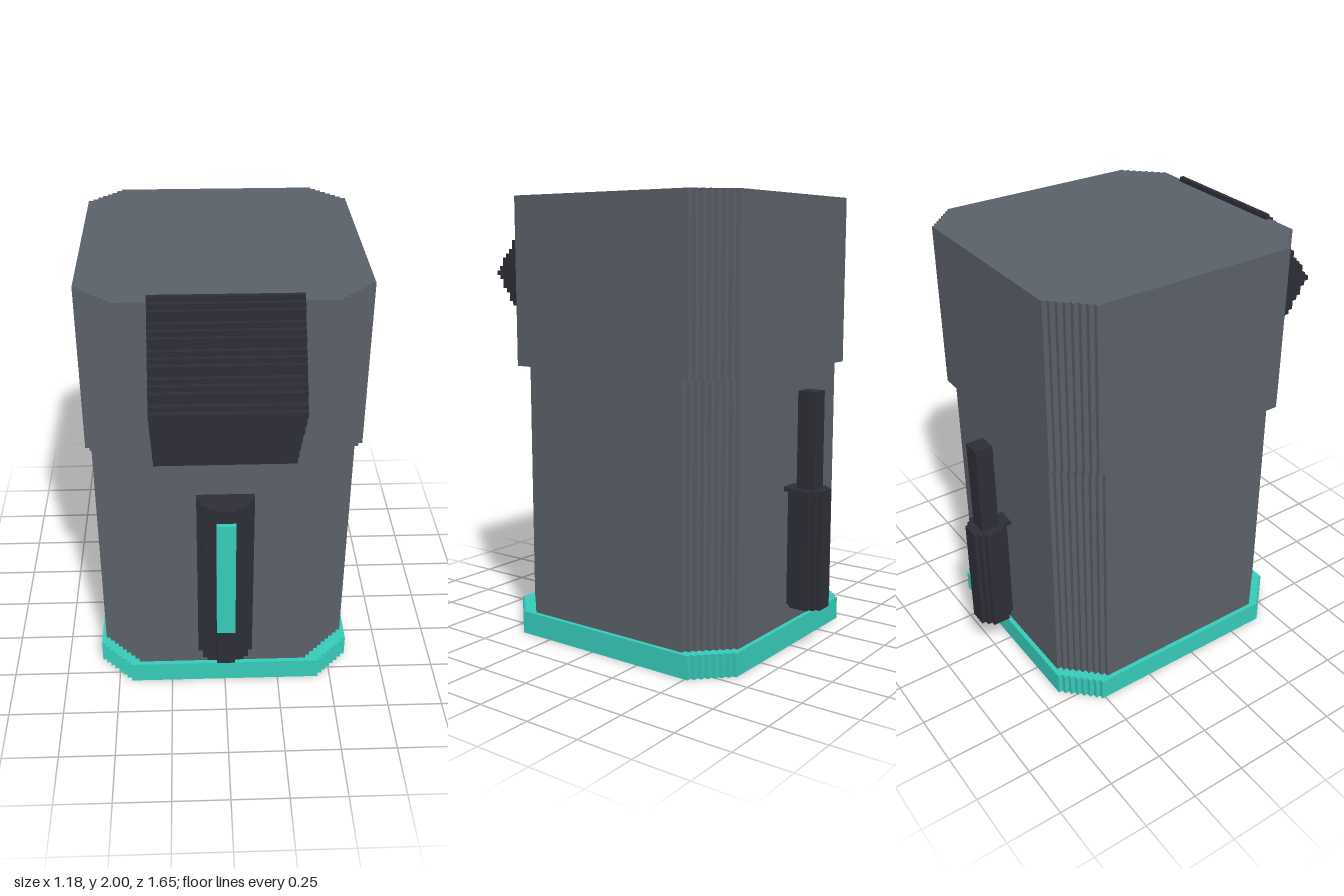
import * as THREE from 'three';

// one voxel; all dimensions below are counted in voxels
const V = 2 / 97;

const mat = (name, color) => Object.assign(new THREE.MeshStandardMaterial({ color }), { name });

export function createModel() {
  const group = new THREE.Group();
  const shell = mat('slate shell', 0x5a6068);
  const dark = mat('dark trim', 0x2d2d36);
  const teal = mat('teal accent', 0x36cab8);

  const add = (name, geometry, material) => {
    const mesh = new THREE.Mesh(geometry, material);
    mesh.name = name;
    group.add(mesh);
  };

  // box given by its limits
  const box = (name, material, x0, x1, y0, y1, z0, z1) => {
    const g = new THREE.BoxGeometry((x1 - x0) * V, (y1 - y0) * V, (z1 - z0) * V);
    g.translate((x0 + x1) / 2 * V, (y0 + y1) / 2 * V, (z0 + z1) / 2 * V);
    add(name, g, material);
  };

  // upright prism from a floor plan of [x, z] points
  const prism = (name, material, plan, y0, y1) => {
    const shape = new THREE.Shape(plan.map(([x, z]) => new THREE.Vector2(x * V, -z * V)));
    const g = new THREE.ExtrudeGeometry(shape, { depth: (y1 - y0) * V, bevelEnabled: false });
    g.rotateX(-Math.PI / 2).translate(0, y0 * V, 0);
    add(name, g, material);
  };

  // staircase corner running from the front or back edge to the side edge
  const corner = (x, z, c) => {
    const sx = Math.sign(x), sz = Math.sign(z), pts = [];
    for (let i = 0; i < c; i++) {
      pts.push([x - sx * (c - i), z - sz * i], [x - sx * (c - i), z - sz * (i + 1)]);
    }
    pts.push([x, z - sz * c]);
    return pts;
  };

  // rectangle with four stepped corners
  const plan = (hx, zBack, zFront, c, cFrontLeft = c) => [
    ...corner(hx, zFront, cFrontLeft),
    ...corner(hx, zBack, c).reverse(),
    ...corner(-hx, zBack, c),
    ...corner(-hx, zFront, c).reverse(),
  ];

  // main housing
  const wide = plan(28.5, -32, 27, 7);
  prism('base', teal, wide, 0, 5);
  prism('body', shell, plan(27.5, -31, 26, 8, 9), 5, 60);
  // the head has a shallow recess that holds the snout
  const recess = [[-14.5, 27], [-14.5, 26], [14.5, 26], [14.5, 27]];
  prism('head', shell, [...wide, ...recess], 60, 96);

  // wedge snout in stepped layers
  for (let k = 0; k < 14; k++) {
    const y0 = k ? Math.round(62 + (k - 1) * 17 / 12) : 60;
    const y1 = k ? Math.round(96 - (k - 1) * 16 / 12) : 97;
    box('snoutLayer', dark, -14.5, 14.5, y0, y1, 26 + k, 27 + k);
  }

  // half-round lamp housing with its light strip
  const half = [6, 6, 5, 5, 4, 2];
  const right = half.flatMap((w, i) => [[w, 26 + i], [w, 27 + i]]);
  const left = right.map(([x, z]) => [-x, z]).reverse();
  prism('lampHousing', dark, [...right, ...left], 10, 52);
  box('lightStrip', teal, -2, 2, 20, 49, 31, 33);

  // rear tool: round grip, shaft and a small mount
  const ring = [2, 3, 4, 4, 4, 4, 3, 2].flatMap((w, i) => [[w, -40 + i], [w, -39 + i]]);
  prism('toolGrip', dark, [...ring, ...ring.map(([x, z]) => [-x, z]).reverse()], 10, 35.4);
  box('toolShaft', dark, -2, 2, 35.4, 56, -38, -34);
  box('toolMount', dark, -2, 2, 34.4, 35.4, -32, -31);

  return group;
}
